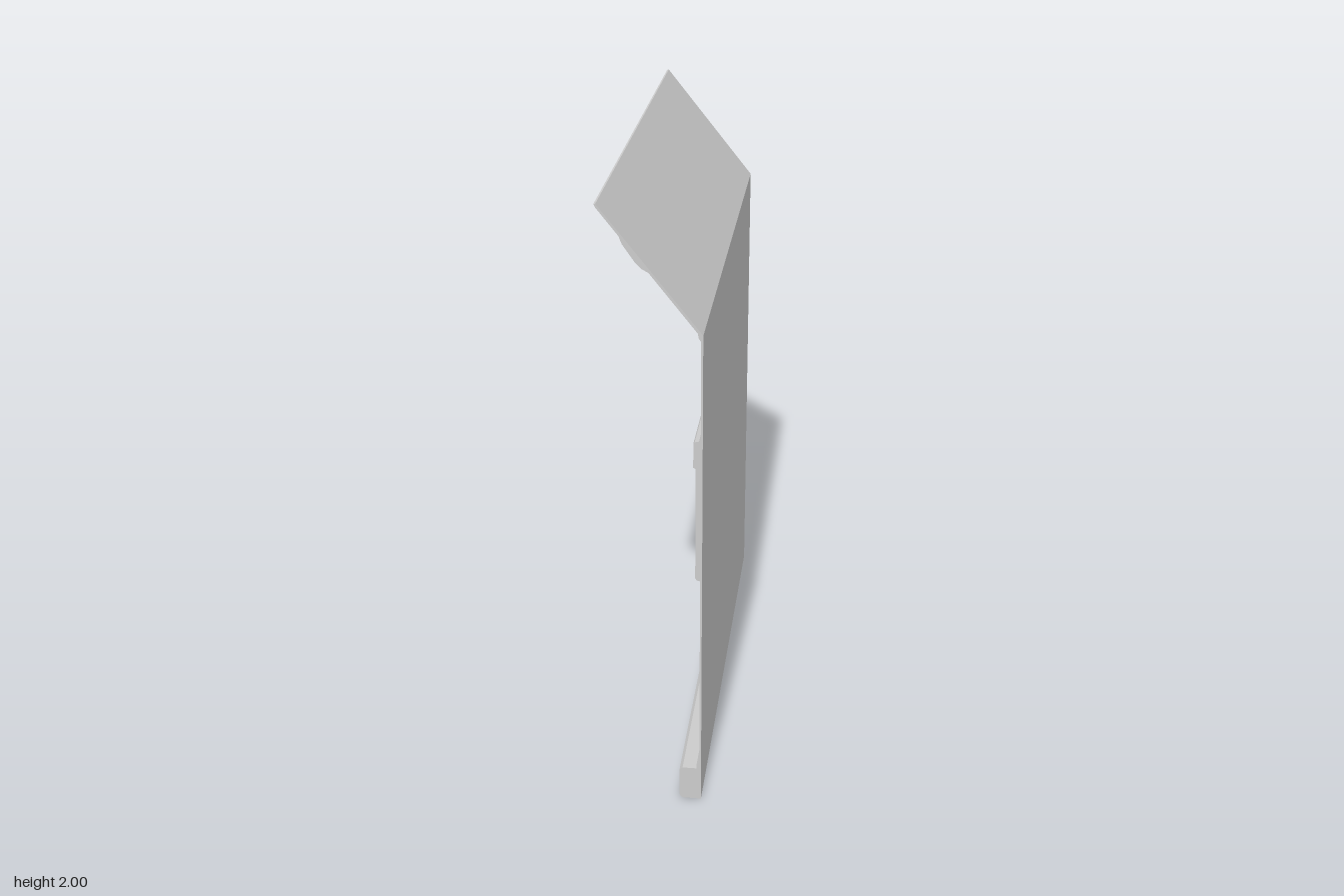
import * as THREE from 'three';

const DEPTH = 1.604;

export function createModel() {
  const group = new THREE.Group();
  const material = new THREE.MeshStandardMaterial({ color: 0xcccccc, flatShading: true, side: THREE.DoubleSide });

  // Every part is an x/y cross-section run along the full length of the wall.
  function addSection(name, points) {
    const shape = new THREE.Shape(points.map(([x, y]) => new THREE.Vector2(x, y)));
    const geometry = new THREE.ExtrudeGeometry(shape, { depth: DEPTH, bevelEnabled: false });
    geometry.translate(0, 0, -DEPTH / 2);
    const mesh = new THREE.Mesh(geometry, material);
    mesh.name = name;
    group.add(mesh);
  }

  // Thin upright wall
  addSection('wallPanel', [[0.147, 0.1], [0.153, 0.1], [0.153, 1.62], [0.147, 1.61]]);

  // Inward-leaning upper panel with a small fillet at the bend
  addSection('slopedPanel', [
    [0.153, 1.62], [-0.151, 2], [-0.156, 2], [-0.152, 1.99],
    [0.137, 1.626], [0.14, 1.61], [0.147, 1.6], [0.153, 1.6],
  ]);

  // Shallow raised strip on the underside of the slope
  addSection('slopeTrim', [
    [-0.095, 1.925], [-0.086, 1.905], [-0.078, 1.885], [-0.04, 1.83],
    [-0.025, 1.815], [-0.002, 1.802], [0.01, 1.796],
  ]);

  // Mid-height panel and its protruding rail
  addSection('midPanel', [
    [0.148, 0.813], [0.148, 1.22], [0.132, 1.22], [0.132, 0.822], [0.137, 0.815],
  ]);
  addSection('midRail', [
    [0.148, 1.195], [0.148, 1.293], [0.142, 1.285], [0.129, 1.282],
    [0.125, 1.277], [0.125, 1.198], [0.132, 1.195],
  ]);

  // Chamfered base ledge with a low step against the wall
  addSection('baseLedge', [
    [0.153, 0], [0.153, 0.14], [0.147, 0.14], [0.138, 0.13], [0.138, 0.118],
    [0.093, 0.118], [0.083, 0.108], [0.083, 0.012], [0.093, 0],
  ]);

  return group;
}
